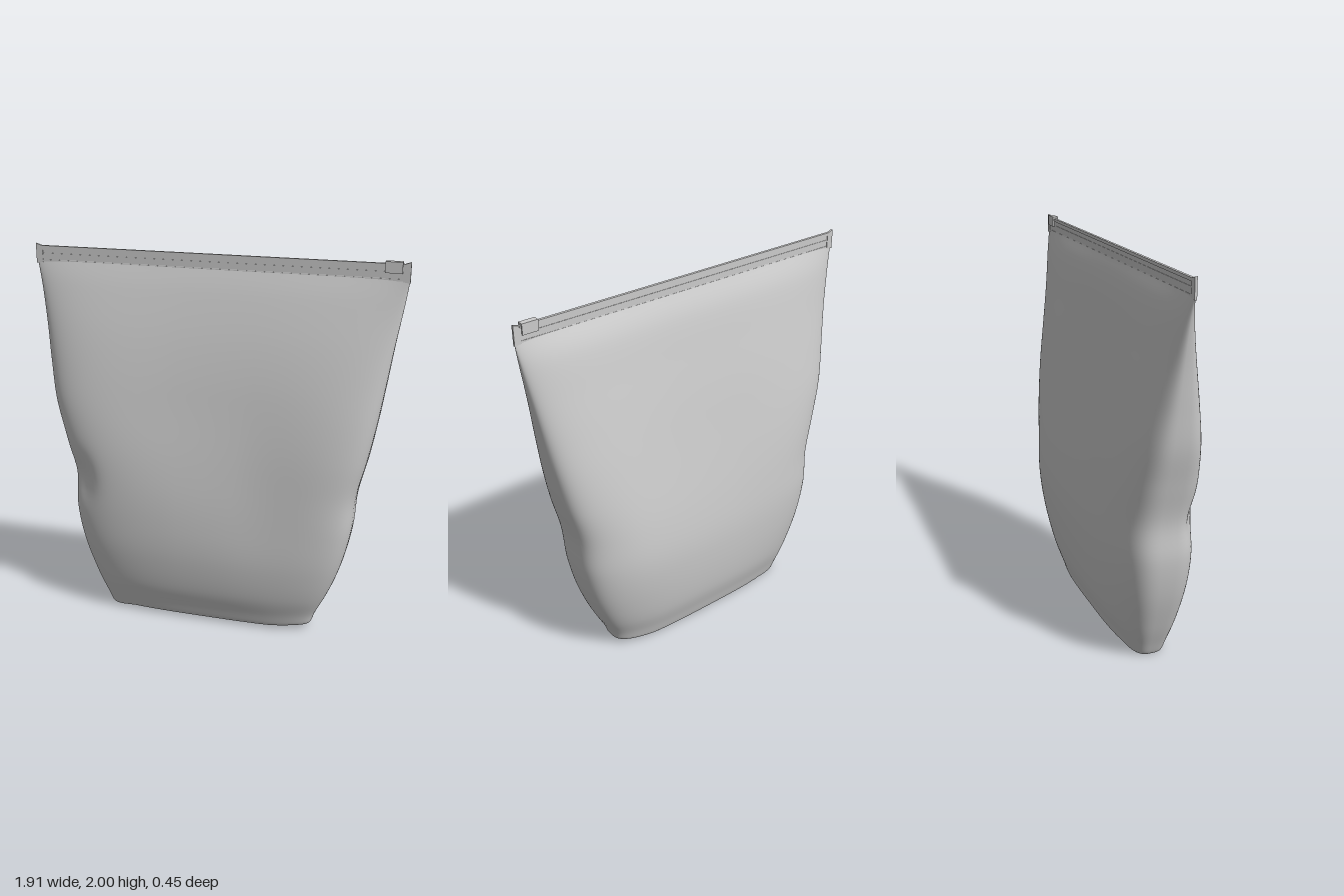
import * as THREE from 'three';

const SEAM_Z = 0.012;
const SEGMENTS = 112;
const STEPS = 72;

// Bag sections from mouth to base: y, right edge x, left edge x, back z, front z, squareness
const sections = [
  [1.92, -0.955, 0.95, 0.008, 0.016, 3],
  [1.8, -0.935, 0.933, -0.045, 0.062, 3],
  [1.6, -0.91, 0.9, -0.092, 0.122, 3.2],
  [1.4, -0.89, 0.87, -0.136, 0.168, 3.4],
  [1.2, -0.865, 0.838, -0.175, 0.202, 3.6],
  [1.0, -0.815, 0.8, -0.205, 0.224, 3.6],
  [0.8, -0.77, 0.753, -0.224, 0.232, 3.5],
  [0.6, -0.77, 0.735, -0.229, 0.228, 3.4],
  [0.4, -0.737, 0.69, -0.215, 0.215, 3.3],
  [0.2, -0.675, 0.617, -0.183, 0.18, 3.2],
  [0.07, -0.624, 0.563, -0.145, 0.138, 3.2],
  [0.015, -0.602, 0.545, -0.128, 0.12, 3.2],
  [0, -0.59, 0.535, -0.118, 0.11, 3.2],
];

const smooth = THREE.MathUtils.smoothstep;
const bump = (x, y, cx, cy, rx, ry) => Math.exp(-(((x - cx) / rx) ** 2) - ((y - cy) / ry) ** 2);

// Catmull-Rom blend of the section table, t in 0..1
function sectionAt(t) {
  const f = t * (sections.length - 1);
  const i = Math.min(Math.floor(f), sections.length - 2);
  const k = f - i;
  const at = (n) => sections[THREE.MathUtils.clamp(n, 0, sections.length - 1)];
  return sections[0].map((_, c) => {
    const a = at(i - 1)[c], b = at(i)[c], d = at(i + 1)[c], e = at(i + 2)[c];
    return b + 0.5 * k * (d - a + k * (2 * a - 5 * b + 4 * d - e + k * (3 * (b - d) + e - a)));
  });
}

// One point of the pillow-shaped section, with sagging panels and soft dents
function bagPoint(t, angle) {
  const [y, x0, x1, zBack, zFront, n] = sectionAt(t);
  const c = Math.cos(angle), s = Math.sin(angle);
  const u = Math.sign(c) * Math.abs(c) ** (2 / n);
  const v = Math.abs(s) ** (2 / n);
  const x = (x0 + x1) / 2 + u * (x1 - x0) / 2;
  const sag = 0.2 * smooth(y, 0.5, 1.3) * (1 - u * u) ** 2;
  let depth = (s > 0 ? zFront - SEAM_Z : SEAM_Z - zBack) * v * (1 - sag);
  if (s > 0) {
    depth *= 1 - 0.1 * bump(x, y, 0.3, 0.75, 0.3, 0.4) - 0.22 * bump(x, y, -0.72, 0.78, 0.08, 0.12);
  } else {
    depth *= 1 - 0.1 * bump(x, y, -0.15, 0.7, 0.4, 0.5) + 0.05 * bump(x, y, 0.5, 0.65, 0.18, 0.4);
  }
  const lift = 0.018 * smooth(x, -0.59, -0.42) + 0.014 * smooth(x, 0.3, 0.53);
  const lifted = y + lift * (1 - smooth(y, 0, 0.3));
  return [x, lifted, SEAM_Z + Math.sign(s) * depth];
}

function makeGeometry(positions, index) {
  const g = new THREE.BufferGeometry();
  g.setAttribute('position', new THREE.Float32BufferAttribute(positions, 3));
  g.setIndex(index);
  g.computeVertexNormals();
  return g;
}

function pouchGeometry() {
  const positions = [], index = [];
  for (let i = 0; i <= STEPS; i++) {
    for (let j = 0; j < SEGMENTS; j++) positions.push(...bagPoint(i / STEPS, (j / SEGMENTS) * Math.PI * 2));
  }
  for (let i = 0; i < STEPS; i++) {
    for (let j = 0; j < SEGMENTS; j++) {
      const a = i * SEGMENTS + j, b = i * SEGMENTS + ((j + 1) % SEGMENTS);
      index.push(a, b, a + SEGMENTS, b, b + SEGMENTS, a + SEGMENTS);
    }
  }
  return makeGeometry(positions, index);
}

// Base panel: strips joining the front and back halves of the last section
function baseGeometry() {
  const positions = [], index = [];
  const half = SEGMENTS / 2;
  for (let j = 0; j <= half; j++) {
    const a = (j / SEGMENTS) * Math.PI * 2;
    positions.push(...bagPoint(1, a), ...bagPoint(1, -a));
  }
  for (let j = 0; j < half; j++) {
    const f = j * 2;
    index.push(f, f + 1, f + 2, f + 1, f + 3, f + 2);
  }
  const g = makeGeometry(positions, index);
  // The strip order runs from +x to -x, so check that it faces down
  if (g.attributes.normal.getY(half) > 0) {
    g.setIndex(index.reverse());
    g.computeVertexNormals();
  }
  return g;
}

export function createModel() {
  const group = new THREE.Group();
  group.name = 'zipBag';
  const material = new THREE.MeshStandardMaterial({ color: 0xcccccc, roughness: 0.7 });
  const film = new THREE.MeshStandardMaterial({ color: 0xcccccc, roughness: 0.7, side: THREE.DoubleSide });

  const add = (name, geometry, mat = material) => {
    const mesh = new THREE.Mesh(geometry, mat);
    mesh.name = name;
    group.add(mesh);
    return mesh;
  };
  const box = (name, x0, x1, y0, y1, depth, z = SEAM_Z) =>
    add(name, new THREE.BoxGeometry(x1 - x0, y1 - y0, depth))
      .position.set((x0 + x1) / 2, (y0 + y1) / 2, z);

  // Filled pouch and its flat base
  add('pouch', pouchGeometry(), film);
  add('basePanel', baseGeometry(), film);

  // Flat mouth strip with raised zip tracks
  box('mouthStrip', -0.95, 0.945, 1.905, 1.985, 0.006);
  box('upperTrack', -0.925, 0.92, 1.974, 1.99, 0.014);
  box('middleTrack', -0.925, 0.92, 1.945, 1.952, 0.01);
  box('lowerTrack', -0.925, 0.92, 1.908, 1.918, 0.01);

  // Welded ends, flaring slightly up at the outer corners
  for (const side of [-1, 1]) {
    const outer = side < 0 ? -0.958 : 0.95;
    const inner = outer - side * 0.035;
    const weld = new THREE.Shape([
      new THREE.Vector2(outer, 1.9), new THREE.Vector2(outer, 2),
      new THREE.Vector2(inner, 1.988), new THREE.Vector2(inner, 1.905),
    ]);
    const geometry = new THREE.ExtrudeGeometry(weld, { depth: 0.012, bevelEnabled: false });
    geometry.translate(0, 0, SEAM_Z - 0.006);
    add(side < 0 ? 'rightWeld' : 'leftWeld', geometry);
  }

  // Slider: a cap riding over the track with two side cheeks
  box('sliderCap', 0.83, 0.912, 1.99, 2, 0.03);
  for (const side of [-1, 1]) {
    box(side < 0 ? 'sliderBackCheek' : 'sliderFrontCheek', 0.83, 0.912, 1.946, 1.992, 0.007, SEAM_Z + side * 0.0115);
  }
  return group;
}
